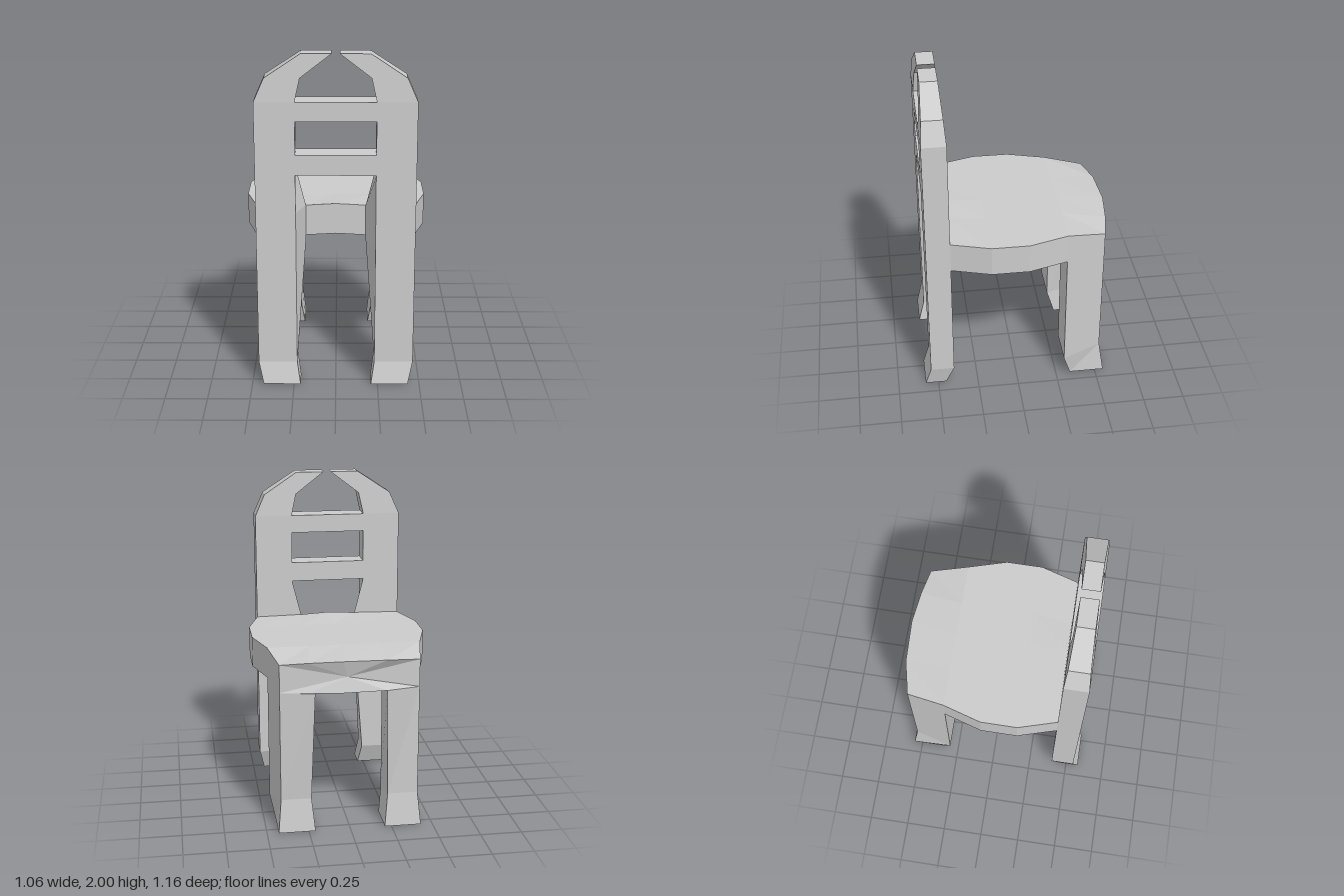
import * as THREE from 'three';

const material = new THREE.MeshStandardMaterial({ color: 0xcccccc, flatShading: true });

// Skin a stack of rings (counter-clockwise seen from the last ring) and cap both ends.
function loft(rings) {
  const pos = [];
  const tri = (a, b, c) => pos.push(...a, ...b, ...c);
  const n = rings[0].length;
  for (let i = 0; i < rings.length - 1; i++) {
    for (let j = 0; j < n; j++) {
      const k = (j + 1) % n;
      const [a, b, c, d] = [rings[i][j], rings[i][k], rings[i + 1][k], rings[i + 1][j]];
      tri(a, b, c);
      tri(a, c, d);
    }
  }
  const cap = (ring, flip) => {
    const mid = [0, 1, 2].map(q => ring.reduce((s, p) => s + p[q], 0) / n);
    ring.forEach((p, j) => {
      const next = ring[(j + 1) % n];
      if (flip) tri(mid, next, p);
      else tri(mid, p, next);
    });
  };
  cap(rings[0], true);
  cap(rings[rings.length - 1], false);
  const g = new THREE.BufferGeometry();
  g.setAttribute('position', new THREE.Float32BufferAttribute(pos, 3));
  g.computeVertexNormals();
  return g;
}

const mirror = rings => rings.map(r => r.map(([x, y, z]) => [-x, y, z]).reverse());

export function createModel() {
  const group = new THREE.Group();
  const add = (geometry, name) => {
    const mesh = new THREE.Mesh(geometry, material);
    mesh.name = name;
    group.add(mesh);
    return mesh;
  };
  const addPair = (rings, name) => {
    add(loft(rings), name + 'Left');
    add(loft(mirror(rings)), name + 'Right');
  };

  // Back posts: leg, upright and inward-curving tip in one piece.
  // Rows: y, outer x, inner x at the seat side, inner x at the outside, seat-side z, outside z
  const post = [
    [0.01, 0.43, 0.21, 0.21, 0.45, 0.58],
    [0.14, 0.46, 0.23, 0.23, 0.4, 0.545],
    [0.88, 0.46, 0.175, 0.23, 0.4, 0.545],
    [1.08, 0.46, 0.175, 0.23, 0.4, 0.545],
    [1.3, 0.46, 0.23, 0.23, 0.4, 0.545],
    [1.73, 0.46, 0.23, 0.23, 0.4, 0.545],
    [1.865, 0.4, 0.2, 0.2, 0.41, 0.535],
    [2.0, 0.195, 0.023, 0.023, 0.42, 0.525],
  ].map(([y, xo, xa, xb, za, zb]) => [[xo, y, zb], [xo, y, za], [xa, y, za], [xb, y, zb]]);
  addPair(post, 'backPost');

  // Legs under the far edge of the seat, with kicked-out feet
  const leg = [
    [[0.43, 0, -0.34], [0.43, 0, -0.555], [0.21, 0, -0.555], [0.21, 0, -0.34]],
    [[0.46, 0.14, -0.295], [0.412, 0.2, -0.525], [0.23, 0.2, -0.525], [0.23, 0.14, -0.295]],
    [[0.46, 0.89, -0.295], [0.412, 0.87, -0.528], [0.21, 0.87, -0.573], [0.23, 0.89, -0.295]],
  ];
  addPair(leg, 'seatLeg');

  // Seat slab: each row is [x, z, top y, bottom y] from one side to the other
  const row = (w, z) => [-w, -0.21, 0, 0.21, w].map(x => [x, z, 1.075, 0.89]);
  const seatRows = [
    [[-0.46, 0.4, 1.075, 0.89], [-0.175, 0.4, 1.08, 0.895], [0, 0.4, 1.09, 0.905],
      [0.175, 0.4, 1.08, 0.895], [0.46, 0.4, 1.075, 0.89]],
    row(0.53, 0.165),
    row(0.53, -0.06),
    row(0.46, -0.295),
    [[-0.412, -0.528, 1.038, 0.87], [-0.21, -0.573, 1.055, 0.87], [0.05, -0.583, 1.06, 0.87],
      [0.25, -0.56, 1.052, 0.87], [0.412, -0.528, 1.038, 0.87]],
  ];
  add(loft(seatRows.map(r => [
    ...r.map(([x, z, t]) => [x, t, z]),
    ...r.map(([x, z, , b]) => [x, b, z]).reverse(),
  ])), 'seat');

  // Back rails between the posts
  [[1.305, 1.425, 'lowerRail'], [1.62, 1.73, 'upperRail']].forEach(([y0, y1, name]) => {
    add(new THREE.BoxGeometry(0.46, y1 - y0, 0.145), name).position.set(0, (y0 + y1) / 2, 0.4725);
  });

  return group;
}
